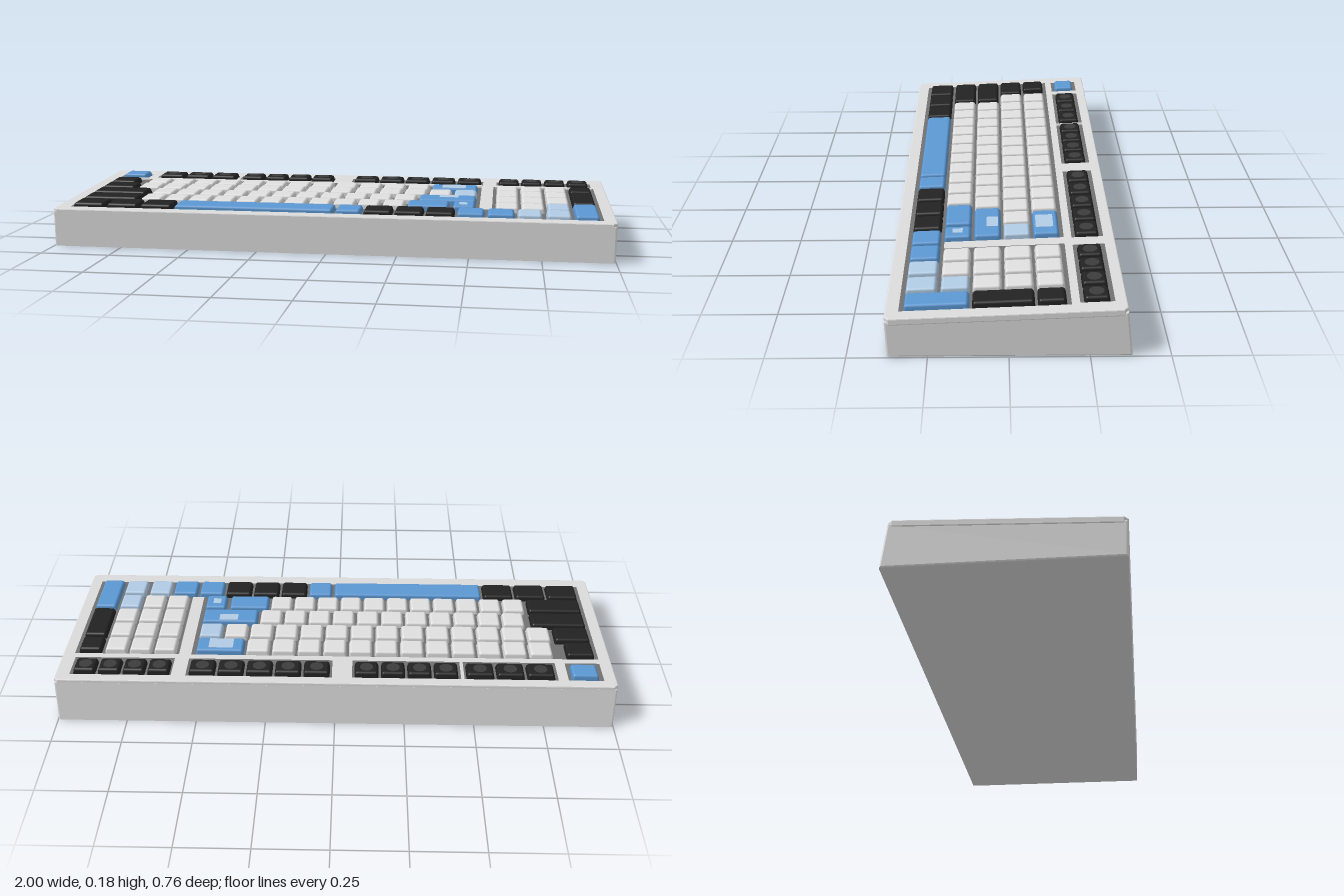
import * as THREE from 'three';
import { RoundedBoxGeometry } from 'three/addons/geometries/RoundedBoxGeometry.js';

const mat = (name, color) => {
  const m = new THREE.MeshStandardMaterial({ color });
  m.name = name;
  return m;
};

export function createModel() {
  const M = {
    shell: mat('shell grey', 0xdadada),
    white: mat('key white', 0xdedede),
    black: mat('key black', 0x222222),
    worn: mat('key charcoal', 0x3c3c3c),
    blue: mat('key blue', 0x5b97d2),
    pale: mat('key pale blue', 0xb0cbe4),
    floor: mat('well grey', 0x707070),
  };
  const model = new THREE.Group();
  model.name = 'keyboard';
  const add = (parent, name, geo, material) => {
    const mesh = new THREE.Mesh(geo, material);
    mesh.name = name;
    parent.add(mesh);
    return mesh;
  };

  // Wedge-shaped case, extruded along x from its side profile (shape x is -z)
  const b = 0.006;
  const side = new THREE.Shape([[-0.369, b], [0.374, b], [0.357, 0.15], [-0.373, 0.121]]
    .map(([x, y]) => new THREE.Vector2(x, y)));
  const caseGeo = new THREE.ExtrudeGeometry(side, {
    depth: 2 - 2 * b - 0.004, bevelSize: b, bevelThickness: b, bevelSegments: 2,
  });
  caseGeo.translate(0, 0, -(1 - b - 0.002)).rotateY(Math.PI / 2);
  add(model, 'case', caseGeo, M.shell);

  // Everything on the sloping deck; local y = 0 is the frame surface
  const deck = new THREE.Group();
  deck.name = 'deck';
  deck.position.y = 0.1533;
  deck.rotation.x = 0.0405;
  model.add(deck);

  // Top frame with key wells
  const bev = 0.004;
  const path = (Type, pts) => new Type(pts.map(([x, z]) => new THREE.Vector2(x, -z)));
  const rect = (x0, x1, z0, z1) => [[x0, z0], [x1, z0], [x1, z1], [x0, z1]];
  const X = 1 - bev, c = 0.012, zb = -0.362 + bev, zf = 0.38 - bev;
  const frame = path(THREE.Shape, [
    [-X + c, zb], [X - c, zb], [X, zb + c], [X, zf - c],
    [X - c, zf], [-X + c, zf], [-X, zf - c], [-X, zb + c],
  ]);
  const topGroups = [[-0.79, -0.465, 3], [-0.445, -0.065, 4], [0.015, 0.53, 5], [0.59, 0.945, 4]];
  const topZ = [-0.315, -0.228], g = 0.01;
  const wells = [
    rect(-0.945 - g, -0.84 + g, topZ[0] - g, topZ[1] + g),
    // wells of neighbouring groups stay apart by a narrow bridge
    ...topGroups.map(([x0, x1]) => rect(x0 - 0.004, x1 + 0.004, topZ[0] - g, topZ[1] + g)),
    [[-0.957, -0.192], [0.53, -0.192], [0.53, 0.212], [0.575, 0.212],
      [0.575, -0.192], [0.957, -0.192], [0.957, 0.337], [-0.957, 0.337]],
  ];
  frame.holes = wells.map((w) => path(THREE.Path, w));
  const frameGeo = new THREE.ExtrudeGeometry(frame, {
    depth: 0.016, bevelSize: bev, bevelThickness: bev, bevelSegments: 2,
  });
  frameGeo.rotateX(-Math.PI / 2).translate(0, -0.016 - bev, 0);
  add(deck, 'topFrame', frameGeo, M.shell);
  const floorGeo = new THREE.BoxGeometry(1.93, 0.008, 0.67).translate(0, -0.014, 0.005);
  add(deck, 'wellFloor', floorGeo, M.floor);

  // A keycap: rounded block narrowing towards its top
  const TOP = 0.0105, BOTTOM = -0.016, H = TOP - BOTTOM;
  const key = (name, x0, x1, z0, z1, material) => {
    const w = x1 - x0 - 0.005, d = z1 - z0 - 0.003;
    const geo = new RoundedBoxGeometry(w, H, d, 2, 0.008);
    const p = geo.attributes.position;
    for (let i = 0; i < p.count; i++) {
      const inset = 0.006 * (p.getY(i) / H + 0.5);
      p.setX(i, p.getX(i) - Math.sign(p.getX(i)) * inset);
      p.setZ(i, p.getZ(i) - Math.sign(p.getZ(i)) * inset);
    }
    add(deck, name, geo, material)
      .position.set((x0 + x1) / 2, (TOP + BOTTOM) / 2, (z0 + z1) / 2);
  };
  const run = (name, x0, x1, n, z, material) => {
    const s = (x1 - x0) / n;
    for (let i = 0; i < n; i++) key(name, x0 + i * s, x0 + (i + 1) * s, z[0], z[1], material);
  };
  // Thin face marking on a keycap
  const patch = (name, x, z, w, d, material) =>
    add(deck, name, new THREE.BoxGeometry(w, 0.002, d), material).position.set(x, TOP, z);

  // Top row of keys
  key('escapeKey', -0.945, -0.84, ...topZ, M.blue);
  for (const [x0, x1, n] of topGroups) {
    run('topRowKey', x0, x1, n, topZ, M.black);
    const s = (x1 - x0) / n;
    for (let i = 0; i < n; i++) {
      add(deck, 'topRowKeyDish', new THREE.CylinderGeometry(0.024, 0.024, 0.002, 16), M.worn)
        .position.set(x0 + (i + 0.5) * s, TOP, -0.272);
    }
  }

  // Main block, row by row: [x0, x1, key count, colour]
  const rows = [[-0.182, -0.086], [-0.084, 0.015], [0.017, 0.116], [0.118, 0.217], [0.221, 0.327]];
  const layout = [
    [[-0.95, -0.84, 1, 'black'], [-0.8, 0.335, 12, 'white'], [0.335, 0.52, 1, 'blue']],
    [[-0.95, -0.81, 1, 'black'], [-0.805, 0.425, 13, 'white'], [0.425, 0.52, 1, 'pale']],
    [[-0.95, -0.735, 1, 'black'], [-0.72, 0.3, 11, 'white'], [0.3, 0.52, 1, 'blue']],
    [[-0.95, -0.735, 1, 'black'], [-0.73, 0.265, 11, 'white'], [0.265, 0.425, 1, 'blue'],
      [0.43, 0.52, 1, 'blue']],
    [[-0.95, -0.57, 3, 'black'], [-0.57, 0.02, 1, 'blue'], [0.02, 0.12, 1, 'blue'],
      [0.12, 0.45, 3, 'black'], [0.45, 0.66, 2, 'blue'], [0.66, 0.755, 1, 'pale'],
      [0.76, 0.855, 1, 'pale']],
  ];
  layout.forEach((row, r) => {
    for (const [x0, x1, n, color] of row) {
      run(x1 - x0 > 0.5 && n === 1 ? 'spaceBar' : `${color}Key`, x0, x1, n, rows[r], M[color]);
    }
  });
  patch('paleKeyFace', 0.425, -0.13, 0.09, 0.06, M.pale);
  patch('paleKeyFace', 0.415, 0.05, 0.07, 0.04, M.pale);
  patch('paleKeyFace', 0.472, 0.168, 0.03, 0.035, M.pale);

  // Number pad
  for (let r = 0; r < 4; r++) {
    run('numberKey', 0.583, 0.765, 2, rows[r], M.white);
    key('numberKey', 0.765, 0.855, ...rows[r], r === 3 ? M.pale : M.white);
  }
  key('padKey', 0.858, 0.95, ...rows[0], M.black);
  key('padTallKey', 0.858, 0.95, rows[1][0], rows[2][1], M.black);
  key('padEnterKey', 0.858, 0.95, rows[3][0], rows[4][1], M.blue);

  return model;
}
